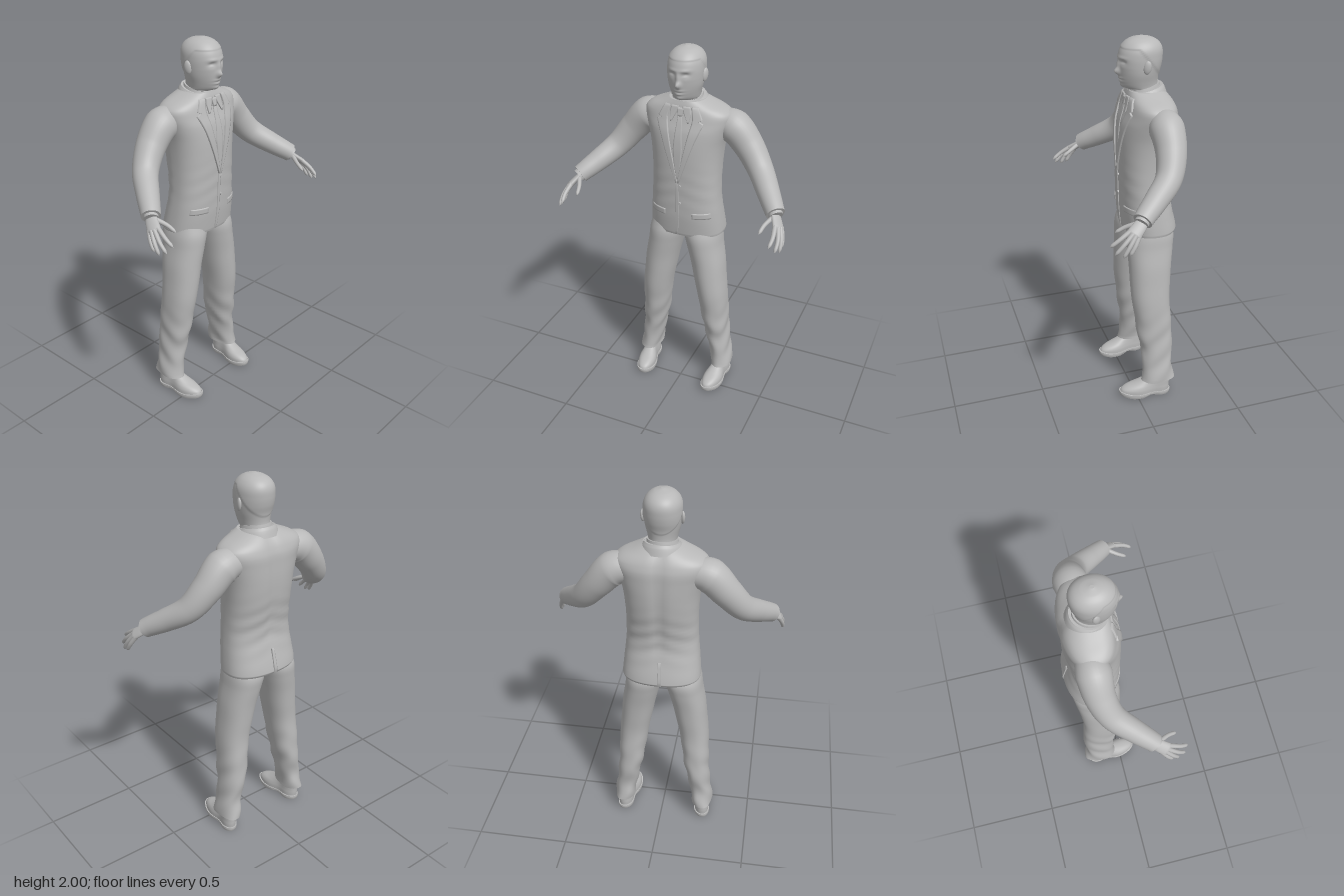
import * as THREE from 'three';

const cloth = new THREE.MeshStandardMaterial({ color: 0xb8b8b8 });
cloth.name = 'plain grey';

// Joins rows of points into one smooth surface.
function skin(rows, closed = true) {
  const n = rows[0].length, pos = [], idx = [];
  rows.forEach(r => r.forEach(v => pos.push(v.x, v.y, v.z)));
  for (let i = 0; i < rows.length - 1; i++)
    for (let j = 0; j < (closed ? n : n - 1); j++) {
      const a = i * n + j, b = i * n + (j + 1) % n;
      idx.push(a, a + n, b, b, a + n, b + n);
    }
  const g = new THREE.BufferGeometry();
  g.setAttribute('position', new THREE.Float32BufferAttribute(pos, 3));
  g.setIndex(idx);
  g.computeVertexNormals();
  return g;
}

// Smooth interpolation of cross-sections [y, centreX, halfWidth, zFront, zBack].
function sectionAt(S, y) {
  let i = 0;
  while (i < S.length - 2 && y > S[i + 1][0]) i++;
  const slope = (k, c) => {
    const a = S[Math.max(k - 1, 0)], b = S[Math.min(k + 1, S.length - 1)];
    return (b[c] - a[c]) / (b[0] - a[0]);
  };
  const A = S[i], B = S[i + 1], h = B[0] - A[0], t = (y - A[0]) / h, t2 = t * t, t3 = t2 * t;
  return A.map((v, c) => c === 0 ? y : (2 * t3 - 3 * t2 + 1) * v + (t3 - 2 * t2 + t) * h * slope(i, c)
    + (3 * t2 - 2 * t3) * B[c] + (t3 - t2) * h * slope(i + 1, c));
}

const spow = (v, e) => Math.sign(v) * Math.abs(v) ** e;

// Upright body through cross-sections, capped at both ends.
function loft(S, { n = 40, k = 4, p = 2, deform } = {}) {
  const rows = [];
  for (let i = 0; i <= (S.length - 1) * k; i++) {
    const q = Math.min(Math.floor(i / k), S.length - 2);
    const y = S[q][0] + (S[q + 1][0] - S[q][0]) * (i / k - q);
    const [, cx, hw, zf, zb] = sectionAt(S, y), row = [];
    for (let j = 0; j < n; j++) {
      const a = j / n * Math.PI * 2, c = Math.cos(a), s = Math.sin(a);
      const v = new THREE.Vector3(cx + hw * spow(c, 2 / p), y, (zf + zb) / 2 + (zf - zb) / 2 * spow(s, 2 / p));
      if (deform) deform(v, s);
      row.push(v);
    }
    rows.push(row);
  }
  const cap = r => {
    const m = r.reduce((s, v) => s.add(v), new THREE.Vector3()).divideScalar(n);
    return r.map(() => m);
  };
  const first = rows[0], last = rows[rows.length - 1];
  return skin([cap(first), first, ...rows, last, cap(last)]);
}

// Limb along a path of [x, y, z, radius]; can be rounded at the tip and flattened along a normal.
function limb(path, { n = 20, m = 30, round = 0, flat = 1, normal } = {}) {
  const curve = new THREE.CatmullRomCurve3(path.map(p => new THREE.Vector3(p[0], p[1], p[2])));
  const f = curve.computeFrenetFrames(m), rows = [];
  for (let i = 0; i <= m; i++) {
    const u = i / m, t = curve.getUtoTmapping(u) * (path.length - 1);
    const q = Math.min(Math.floor(t), path.length - 2), c = curve.getPointAt(u);
    let r = THREE.MathUtils.lerp(path[q][3], path[q + 1][3], t - q);
    if (round) r *= Math.min(1, Math.sqrt((1 - u) * round));
    const ring = [];
    for (let j = 0; j < n; j++) {
      const a = j / n * Math.PI * 2;
      const d = f.normals[i].clone().multiplyScalar(Math.cos(a) * r).addScaledVector(f.binormals[i], -Math.sin(a) * r);
      if (normal) d.addScaledVector(normal, -(1 - flat) * d.dot(normal));
      ring.push(d.add(c));
    }
    rows.push(ring);
    if (i === m) rows.push(ring, ring.map(() => c));
  }
  return skin(rows);
}

function mirrored(g) {
  const c = g.clone().scale(-1, 1, 1), ix = c.index.array;
  for (let i = 0; i < ix.length; i += 3) [ix[i], ix[i + 1]] = [ix[i + 1], ix[i]];
  c.computeVertexNormals();
  return c;
}

const JACKET = [
  [0.985, 0, 0.204, 0.018, -0.255], [1.0, 0, 0.206, 0.022, -0.262], [1.1, 0, 0.197, 0.033, -0.24],
  [1.2, 0, 0.187, 0.037, -0.222], [1.3, 0, 0.183, 0.04, -0.23], [1.4, 0, 0.185, 0.042, -0.245],
  [1.5, 0, 0.195, 0.04, -0.252], [1.58, 0, 0.215, 0.03, -0.252], [1.63, 0, 0.23, 0.014, -0.25],
  [1.665, 0, 0.228, 0.004, -0.24], [1.69, 0, 0.198, -0.002, -0.228], [1.715, 0, 0.14, -0.008, -0.21],
  [1.735, 0, 0.095, -0.015, -0.19]];
const JP = 2.4;

// Thin raised panel lying on the jacket; rows are [y, xMin, xMax] from top to bottom.
function panel(rows, lift = 0.006, back = false) {
  const out = [], n = 8;
  const line = (r, edge) => Array.from({ length: n + 3 }, (_, j) => {
    const u = THREE.MathUtils.clamp((j - 1) / n, 0, 1), x = THREE.MathUtils.lerp(r[1], r[2], u);
    const [y, , hw, zf, zb] = sectionAt(JACKET, r[0]);
    const d = (zf - zb) / 2 * Math.max(0, 1 - Math.abs(x / hw) ** JP) ** (1 / JP);
    const o = edge || j === 0 || j === n + 2 ? -0.002 : lift;
    return new THREE.Vector3(back ? -x : x, y, (zf + zb) / 2 + (back ? -1 : 1) * (d + o));
  });
  out.push(line(rows[0], true));
  for (let i = 0; i < rows.length - 1; i++)
    for (let s = 0; s < 5; s++) out.push(line(rows[i].map((v, c) => v + (rows[i + 1][c] - v) * s / 5)));
  const end = rows[rows.length - 1];
  out.push(line(end), line(end, true));
  return skin(out, false);
}

// Facial relief: [x, y, width, height, depth].
const RELIEF = [
  [0, 1.832, 0.013, 0.017, 0.024], [0, 1.866, 0.01, 0.025, 0.01], [0.036, 1.882, 0.018, 0.012, -0.011],
  [0.036, 1.876, 0.012, 0.006, 0.004], [0.03, 1.903, 0.03, 0.008, 0.004], [0, 1.793, 0.028, 0.003, -0.004],
  [0, 1.801, 0.022, 0.005, 0.005], [0, 1.784, 0.02, 0.005, 0.005], [0, 1.76, 0.02, 0.01, 0.005]];

function shapeHead(v, s) {
  const face = Math.max(0, s);
  if (v.y > 1.745) v.x *= 1 - face * face * THREE.MathUtils.clamp((1.87 - v.y) * 3, 0.04, 0.32);
  if (v.z > -0.03 && v.y > 1.75) for (const [x, y, w, h, d] of RELIEF)
    v.z += d * Math.exp(-(((Math.abs(v.x) - x) / w) ** 2) - ((v.y - y) / h) ** 2);
  // Hair stands slightly proud of the scalp
  const hair = THREE.MathUtils.smoothstep(v.y - (1.945 + Math.min(0, v.z + 0.05) * 1.2), 0, 0.008);
  v.x *= 1 + 0.04 * hair;
  v.z += (v.z + 0.08) * 0.03 * hair;
}

export function createModel() {
  const model = new THREE.Group();
  model.name = 'suitedMan';
  const add = (name, g, dx = 0) => {
    const m = new THREE.Mesh(g, cloth);
    m.name = name;
    m.position.x = dx;
    model.add(m);
  };
  const pair = (name, g, dx = 0) => {
    add('left' + name, g, dx);
    add('right' + name, mirrored(g), dx);
  };

  // Head and neck
  add('head', loft([
    [1.66, 0, 0.075, -0.025, -0.175], [1.738, 0, 0.07, -0.022, -0.172], [1.752, 0, 0.07, 0.012, -0.17],
    [1.78, 0, 0.076, 0.026, -0.168], [1.82, 0, 0.086, 0.031, -0.172], [1.86, 0, 0.091, 0.033, -0.182],
    [1.9, 0, 0.092, 0.034, -0.187], [1.94, 0, 0.087, 0.024, -0.185], [1.97, 0, 0.07, 0.002, -0.168],
    [1.99, 0, 0.043, -0.03, -0.135], [2.0, 0, 0.008, -0.07, -0.09]], { n: 88, k: 8, p: 2.1, deform: shapeHead }));
  pair('Ear', new THREE.SphereGeometry(1, 16, 12).scale(0.011, 0.034, 0.02).rotateX(-0.15).rotateY(-0.35)
    .translate(0.094, 1.862, -0.085));

  // Jacket body
  add('jacket', loft(JACKET, {
    n: 72, k: 5, p: JP, deform: (v, s) => {
      if (s < 0) v.z += 0.01 * Math.exp(-((v.x / 0.03) ** 2)) * THREE.MathUtils.smoothstep(v.y, 1.05, 1.3);
      const fold = Math.exp(-(((v.y - 1.25) / 0.12) ** 2));
      v.z += 0.003 * fold * Math.sin(v.y * 75 + Math.abs(v.x) * 25) * (s < 0 ? 1 : 0.4);
    } }));

  // Collars, tilted up at the back
  const tilt = v => { v.y -= 0.2 * (v.z + 0.1); };
  add('jacketCollar', loft([[1.69, 0, 0.112, 0.0, -0.215], [1.725, 0, 0.098, -0.006, -0.203],
    [1.742, 0, 0.086, -0.014, -0.193]], { n: 48, deform: tilt }));
  add('shirtCollar', loft([[1.7, 0, 0.084, 0.0, -0.186], [1.735, 0, 0.079, -0.01, -0.182],
    [1.755, 0, 0.074, -0.018, -0.177]], { n: 48, deform: tilt }));

  // Lapels, shirt points, tie and jacket front
  pair('Lapel', panel([[1.712, 0.058, 0.09], [1.655, 0.068, 0.118], [1.648, 0.067, 0.1], [1.635, 0.065, 0.125],
    [1.55, 0.047, 0.09], [1.42, 0.02, 0.045], [1.31, 0, 0.008]], 0.008));
  pair('ShirtPoint', panel([[1.712, 0.01, 0.05], [1.68, 0.02, 0.056], [1.635, 0.044, 0.05]], 0.007));
  add('tieKnot', panel([[1.705, -0.018, 0.018], [1.665, -0.011, 0.011]], 0.009));
  add('tie', panel([[1.665, -0.011, 0.011], [1.5, -0.024, 0.024], [1.42, -0.018, 0.018], [1.33, -0.004, 0.004]], 0.004));
  add('frontOverlap', panel([[1.31, -0.012, 0.004], [1.1, -0.014, 0.004], [0.99, -0.02, -0.006]], 0.004));
  pair('PocketFlap', panel([[1.137, 0.075, 0.165], [1.105, 0.076, 0.168]], 0.005));
  for (const y of [1.29, 1.19])
    add('button', new THREE.CylinderGeometry(0.008, 0.008, 0.008, 14).rotateX(Math.PI / 2).translate(0.012, y, 0.042));
  add('backVent', panel([[1.12, -0.004, 0.012], [0.99, -0.004, 0.016]], 0.006, true));

  // Sleeves
  pair('Sleeve', limb([[0.15, 1.61, -0.14, 0.07], [0.235, 1.593, -0.137, 0.088], [0.32, 1.505, -0.13, 0.077],
    [0.4, 1.405, -0.09, 0.066], [0.475, 1.335, 0, 0.058], [0.53, 1.288, 0.072, 0.05], [0.545, 1.275, 0.09, 0.048]],
    { n: 32, m: 48 }));
  pair('ShirtCuff', limb([[0.53, 1.288, 0.072, 0.036], [0.551, 1.267, 0.098, 0.036]], { m: 4 }));

  // Hands
  const palmNormal = new THREE.Vector3(-0.74, -0.66, -0.13).normalize();
  pair('Palm', limb([[0.535, 1.284, 0.077, 0.028], [0.56, 1.253, 0.112, 0.033], [0.576, 1.232, 0.14, 0.036],
    [0.585, 1.218, 0.157, 0.032]], { round: 6, flat: 0.45, normal: palmNormal }));
  const fingers = {
    LittleFinger: [[0.586, 1.225, 0.118], [0.604, 1.18, 0.145], [0.609, 1.138, 0.172]],
    RingFinger: [[0.586, 1.23, 0.133], [0.605, 1.18, 0.172], [0.608, 1.13, 0.204]],
    MiddleFinger: [[0.578, 1.235, 0.145], [0.595, 1.19, 0.196], [0.595, 1.145, 0.24]],
    IndexFinger: [[0.565, 1.243, 0.155], [0.573, 1.207, 0.213], [0.568, 1.175, 0.257]],
    Thumb: [[0.54, 1.265, 0.11], [0.513, 1.24, 0.165], [0.502, 1.213, 0.212]] };
  for (const [name, pts] of Object.entries(fingers))
    pair(name, limb(pts.map((p, i) => [...p, 0.0125 - i * 0.0018]), { n: 12, m: 14, round: 7 }));

  // Trouser legs with folds toward the hem
  const leg = [[0.1, 0.17, 0.284, -0.03, -0.218], [0.12, 0.168, 0.282, -0.034, -0.215], [0.2, 0.155, 0.272, -0.045, -0.205],
    [0.3, 0.135, 0.26, -0.035, -0.21], [0.4, 0.115, 0.254, -0.02, -0.212], [0.5, 0.1, 0.25, -0.008, -0.205],
    [0.6, 0.085, 0.245, 0.005, -0.2], [0.7, 0.065, 0.235, 0.01, -0.207], [0.8, 0.045, 0.225, 0.012, -0.216],
    [0.9, 0.02, 0.208, 0.016, -0.23], [0.97, 0.002, 0.2, 0.016, -0.235], [1.03, 0, 0.185, 0, -0.21]]
    .map(([y, a, b, f, r]) => [y, (a + b) / 2, (b - a) / 2, f, r]);
  pair('TrouserLeg', loft(leg, {
    n: 40, k: 5, p: 2.3, deform: (v, s) => {
      const fold = 0.004 * THREE.MathUtils.smoothstep(0.6 - v.y, 0, 0.3);
      v.x += fold * Math.sin(v.y * 42 + v.z * 35);
      v.z += fold * Math.sin(v.y * 36 + v.x * 30) + 0.005 * Math.max(0, s) ** 24;
    } }), -0.01);

  // Shoes: sole with heel, arch and lifted toe, then the upper
  const foot = v => {
    v.x += 0.22 - 0.1 * (v.z + 0.08) - v.x * 0.3 * Math.exp(-(((v.z + 0.09) / 0.05) ** 2));
    if (v.y < 0.03) v.y += 0.012 * THREE.MathUtils.smoothstep(v.z, 0.02, 0.1);
  };
  const arch = v => {
    foot(v);
    if (v.y < 0.012) v.y += 0.011 * Math.exp(-(((v.z + 0.075) / 0.03) ** 2));
  };
  pair('ShoeSole', loft([[0, 0, 0.057, 0.092, -0.19], [0.012, 0, 0.06, 0.096, -0.194], [0.024, 0, 0.06, 0.096, -0.194]],
    { n: 48, p: 2.3, deform: arch }), -0.01);
  pair('ShoeUpper', loft([[0.022, 0, 0.055, 0.09, -0.188], [0.045, 0, 0.055, 0.085, -0.19], [0.062, 0, 0.052, 0.06, -0.19],
    [0.08, 0, 0.048, 0.01, -0.19], [0.105, 0, 0.044, -0.04, -0.188], [0.15, 0, 0.04, -0.07, -0.18]],
    { n: 48, p: 2.2, deform: foot }), -0.01);

  return model;
}
